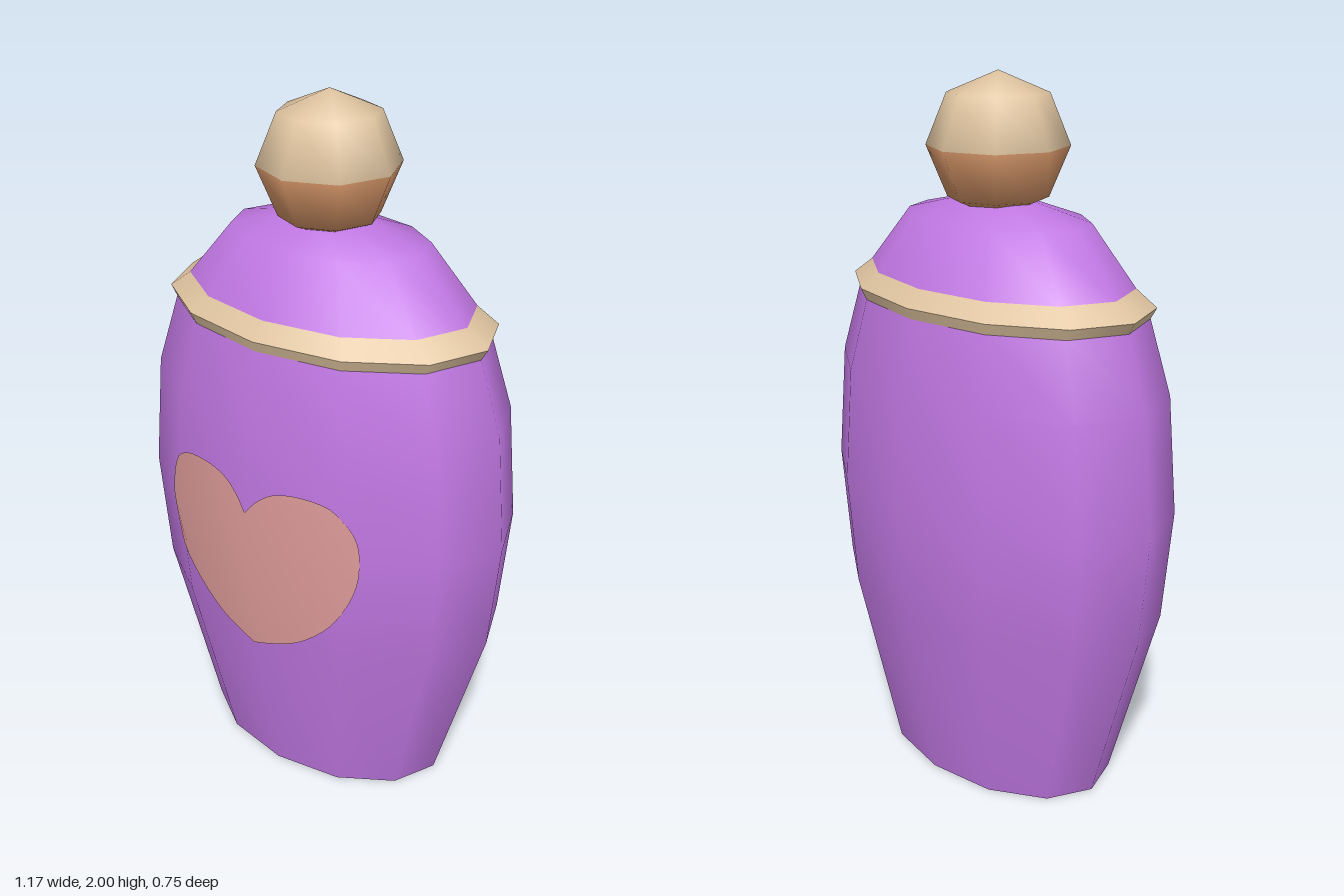
import * as THREE from 'three';

const DEPTH = 0.64; // oval plan: depth relative to width
const SIDES = 12;
const mat = (name, color) => {
  const m = new THREE.MeshStandardMaterial({ color });
  m.name = name;
  return m;
};

const BODY = [[0.40, 0], [0.555, 0.53], [0.585, 0.85], [0.555, 1.18], [0.486, 1.385]];

// Oval twelve-sided turned part from a [radius, height] profile
function ovalLathe(name, profile, material) {
  const g = new THREE.LatheGeometry(profile.map(p => new THREE.Vector2(...p)), SIDES);
  g.scale(1, 1, DEPTH);
  const mesh = new THREE.Mesh(g, material);
  mesh.name = name;
  return mesh;
}

function bodyRadius(y) {
  const i = y < 0.53 ? 0 : y < 0.85 ? 1 : 2;
  const [r0, y0] = BODY[i], [r1, y1] = BODY[i + 1];
  return r0 + (r1 - r0) * (y - y0) / (y1 - y0);
}

// Front surface of the faceted body at (x, y)
function bodyFront(x, y) {
  const r = bodyRadius(y), step = Math.PI * 2 / SIDES;
  const ax = Math.abs(x) / r;
  const k = ax < Math.sin(step) ? 0 : 1;
  const s0 = Math.sin(k * step), s1 = Math.sin((k + 1) * step);
  const c0 = Math.cos(k * step), c1 = Math.cos((k + 1) * step);
  return r * DEPTH * (c0 + (c1 - c0) * (ax - s0) / (s1 - s0));
}

// Heart patch: concentric outlines laid on the body's front
function heartGeometry() {
  const half = [[0, 0.93], [0.035, 0.972], [0.085, 1.006], [0.17, 1.02], [0.265, 1.005], [0.318, 0.94],
    [0.333, 0.85], [0.312, 0.745], [0.25, 0.635], [0.15, 0.545], [0.06, 0.505], [0, 0.488]];
  const right = new THREE.CatmullRomCurve3(half.map(([x, y]) => new THREE.Vector3(x, y, 0))).getPoints(40);
  const left = right.slice(1, -1).reverse().map(p => new THREE.Vector3(-p.x, p.y, 0));
  const outline = [...right, ...left];
  const n = outline.length, rings = 14, cy = 0.77;
  const pos = [], nor = [], idx = [];
  for (let k = 0; k <= rings; k++) {
    for (const p of outline) {
      const t = k / rings, x = p.x * t, y = cy + (p.y - cy) * t;
      const z = bodyFront(x, y);
      pos.push(x, y, z + 0.004);
      const v = new THREE.Vector3(x, (y - 0.85) * 0.17, z / DEPTH ** 2).normalize();
      nor.push(v.x, v.y, v.z);
    }
  }
  for (let k = 0; k < rings; k++) {
    for (let i = 0; i < n; i++) {
      const j = (i + 1) % n, a = k * n + i, b = k * n + j, c = a + n, d = b + n;
      idx.push(a, d, c);
      if (k > 0) idx.push(a, b, d);
    }
  }
  const g = new THREE.BufferGeometry();
  g.setAttribute('position', new THREE.Float32BufferAttribute(pos, 3));
  g.setAttribute('normal', new THREE.Float32BufferAttribute(nor, 3));
  g.setIndex(idx);
  return g;
}

export function createModel() {
  const purple = mat('purple glaze', 0xc077e2);
  const cream = mat('cream', 0xdfc4a0);
  const tan = mat('tan', 0xcd8f63);
  const pink = mat('dusty pink', 0xdc9a98);
  pink.side = THREE.DoubleSide;
  const model = new THREE.Group();
  model.name = 'jar';

  model.add(
    ovalLathe('body', BODY, purple),
    ovalLathe('base', [[0, 0], [0.40, 0]], purple),
    ovalLathe('lid', [[0.47, 1.42], [0.44, 1.46], [0.30, 1.62], [0.115, 1.664], [0, 1.668]], purple),
    // Rim in two bands so that its outer edge stays sharp
    ovalLathe('rimUnderside', [[0.484, 1.38], [0.505, 1.415]], cream),
    ovalLathe('rimTop', [[0.505, 1.415], [0.44, 1.46]], cream),
  );

  const heart = new THREE.Mesh(heartGeometry(), pink);
  heart.name = 'heart';
  model.add(heart);

  // Two-tone knob
  for (const [name, start, material] of [['knobTop', 0, cream], ['knobBottom', Math.PI / 2, tan]]) {
    const knob = new THREE.Mesh(
      new THREE.SphereGeometry(0.194, 8, 2, 0, Math.PI * 2, start, Math.PI / 2), material);
    knob.position.y = 1.806;
    knob.name = name;
    model.add(knob);
  }
  return model;
}
